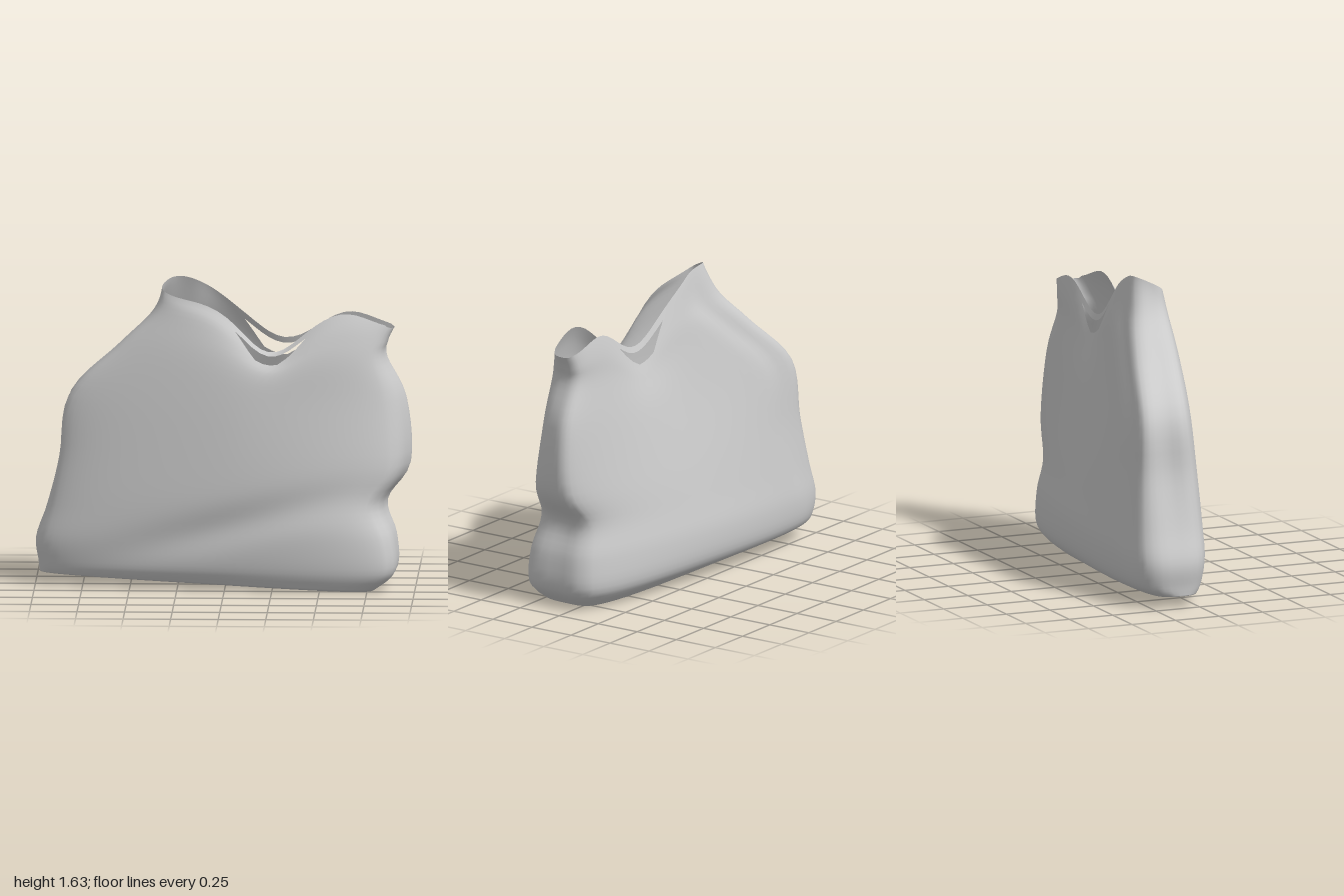
import * as THREE from 'three';

// Cross-sections from base to rim:
// left x, left y, right x, right y, front z (left, middle, right), back z (left, middle, right)
const LEVELS = [
  [-0.98, 0.06, 0.79, 0.00, 0.00, 0.20, 0.26, -0.19, -0.18, -0.03],
  [-0.985, 0.11, 0.90, 0.10, 0.02, 0.25, 0.295, -0.26, -0.28, -0.09],
  [-1.00, 0.24, 0.90, 0.28, 0.03, 0.27, 0.295, -0.28, -0.30, -0.09],
  [-0.95, 0.42, 0.86, 0.46, 0.03, 0.28, 0.27, -0.27, -0.27, -0.07],
  [-0.90, 0.68, 0.99, 0.66, 0.02, 0.285, 0.24, -0.25, -0.215, -0.03],
  [-0.85, 1.00, 0.97, 1.00, 0.00, 0.265, 0.20, -0.23, -0.14, -0.01],
  [-0.57, 1.27, 0.86, 1.22, 0.06, 0.25, 0.19, -0.15, -0.08, 0.00],
  [-0.38, 1.46, 0.86, 1.31, 0.09, 0.22, 0.16, -0.08, -0.045, 0.00],
  [-0.35, 1.60, 0.89, 1.38, 0.08, 0.16, 0.13, -0.04, -0.01, 0.01],
];
const FRONT_DIP = [0, 0, 0, 0, 0, 0.02, 0.11, 0.19, 0.24];
const BACK_DIP = [0, 0, 0, 0, 0, 0.02, 0.10, 0.16, 0.17];
const STEPS = 5, WIDE = 16, SIDE = 4;
const ROWS = (LEVELS.length - 1) * STEPS, COLS = 4 * WIDE + 4 * SIDE;

const bell = (d, w) => Math.exp(-(d * d) / (w * w));
const { lerp, smoothstep } = THREE.MathUtils;

// smooth interpolation through a list of values
function spline(values, v) {
  const n = values.length - 1, i = Math.min(Math.floor(v), n - 1), t = v - i;
  const a = values[i], b = values[i + 1];
  const m0 = (b - values[Math.max(i - 1, 0)]) / 2;
  const m1 = (values[Math.min(i + 2, n)] - a) / 2;
  const t2 = t * t, t3 = t2 * t;
  return a * (2 * t3 - 3 * t2 + 1) + m0 * (t3 - 2 * t2 + t) + b * (3 * t2 - 2 * t3) + m1 * (t3 - t2);
}

// loop through front, right side, back and left side at one height
function ring(v) {
  const [xL, yL, xR, yR, fL, fM, fR, bL, bM, bR] = LEVELS[0].map((_, k) => spline(LEVELS.map(r => r[k]), v));
  const at = (t, z) => new THREE.Vector3(lerp(xL, xR, t), lerp(yL, yR, t), z);
  // the right side slants to a tip at the back, the left side is slightly tucked in
  const slant = 0.04 * bell(v - 4.5, 2);
  const tuck = 0.025 * bell(v - 4.5, 1.5);
  const loop = new THREE.CatmullRomCurve3([
    at(0.02, fL), at(0.5, fM), at(0.975 - slant, fR), at(1 - slant / 2, lerp(bR, fR, 0.45)),
    at(0.985, bR), at(0.5, bM), at(0.025, bL), at(tuck, (fL + bL) / 2),
  ], true);
  const points = [];
  [WIDE, WIDE, SIDE, SIDE, WIDE, WIDE, SIDE, SIDE].forEach((n, s) => {
    for (let j = 0; j < n; j++) {
      const p = loop.getPoint((s + j / n) / 8);
      const front = s < 2, back = s === 4 || s === 5;
      // sagging mouth, raised towards the right end
      if (front) p.y -= spline(FRONT_DIP, v) * bell(p.x - 0.23, 0.22);
      if (back) p.y -= spline(BACK_DIP, v) * bell(p.x - 0.3, 0.23);
      if (front || back) p.y += 0.045 * bell(p.x - 0.65, 0.16) * smoothstep(v, 6, 8);
      // left tip of the mouth leans up towards the back
      const tip = smoothstep(v, 7, 8) * smoothstep(-p.x, -0.1, 0.3);
      p.y += tip * (0.03 - p.z) * 0.5;
      p.x += tip * (0.08 - p.z) * 0.5;
      // soft diagonal crease in front, shallow upright fold at the back
      if (front) p.z -= 0.025 * bell(p.y - (0.34 + 0.26 * p.x), 0.1) * bell(p.x - 0.1, 0.6);
      if (back) p.z += 0.015 * bell(p.x - xL - 0.2, 0.07) * smoothstep(v, 1, 4);
      points.push(p);
    }
  });
  return points;
}

// handle slots: first and last open column of each row, front and back
const SLOTS = {
  35: [[13, 17], [53, 57]],
  36: [[12, 18], [52, 58]],
  37: [[11, 19], [51, 59]],
};

export function createModel() {
  const group = new THREE.Group();
  group.name = 'softBag';
  const positions = [], index = [];

  // walls, with slot ends cut diagonally
  for (let r = 0; r <= ROWS; r++) ring(r / STEPS).forEach(p => positions.push(p.x, p.y, p.z));
  for (let r = 0; r < ROWS; r++) {
    for (let c = 0; c < COLS; c++) {
      const a = r * COLS + c, b = r * COLS + (c + 1) % COLS;
      const slot = (SLOTS[r] || []).find(([first, last]) => c >= first && c <= last);
      if (!slot) index.push(a, b, b + COLS, a, b + COLS, a + COLS);
      else if (c === slot[0]) index.push(a, b, a + COLS);
      else if (c === slot[1]) index.push(a, b, b + COLS);
    }
  }

  // base: strips from front edge to back edge, with a fan at each end
  const right = 2 * WIDE, backLeft = COLS - 2 * SIDE;
  for (let i = 0; i < right; i++) {
    const k = backLeft - i;
    index.push(i, k, k - 1, i, k - 1, i + 1);
  }
  for (let j = 1; j < 2 * SIDE; j++) {
    index.push(right, right + j + 1, right + j);
    index.push(0, (backLeft + j) % COLS, backLeft + j - 1);
  }

  const geometry = new THREE.BufferGeometry();
  geometry.setAttribute('position', new THREE.Float32BufferAttribute(positions, 3));
  geometry.setIndex(index);
  geometry.computeVertexNormals();
  const bag = new THREE.Mesh(geometry, new THREE.MeshStandardMaterial({ color: 0xcccccc, side: THREE.DoubleSide }));
  bag.name = 'bagBody';
  group.add(bag);
  return group;
}
